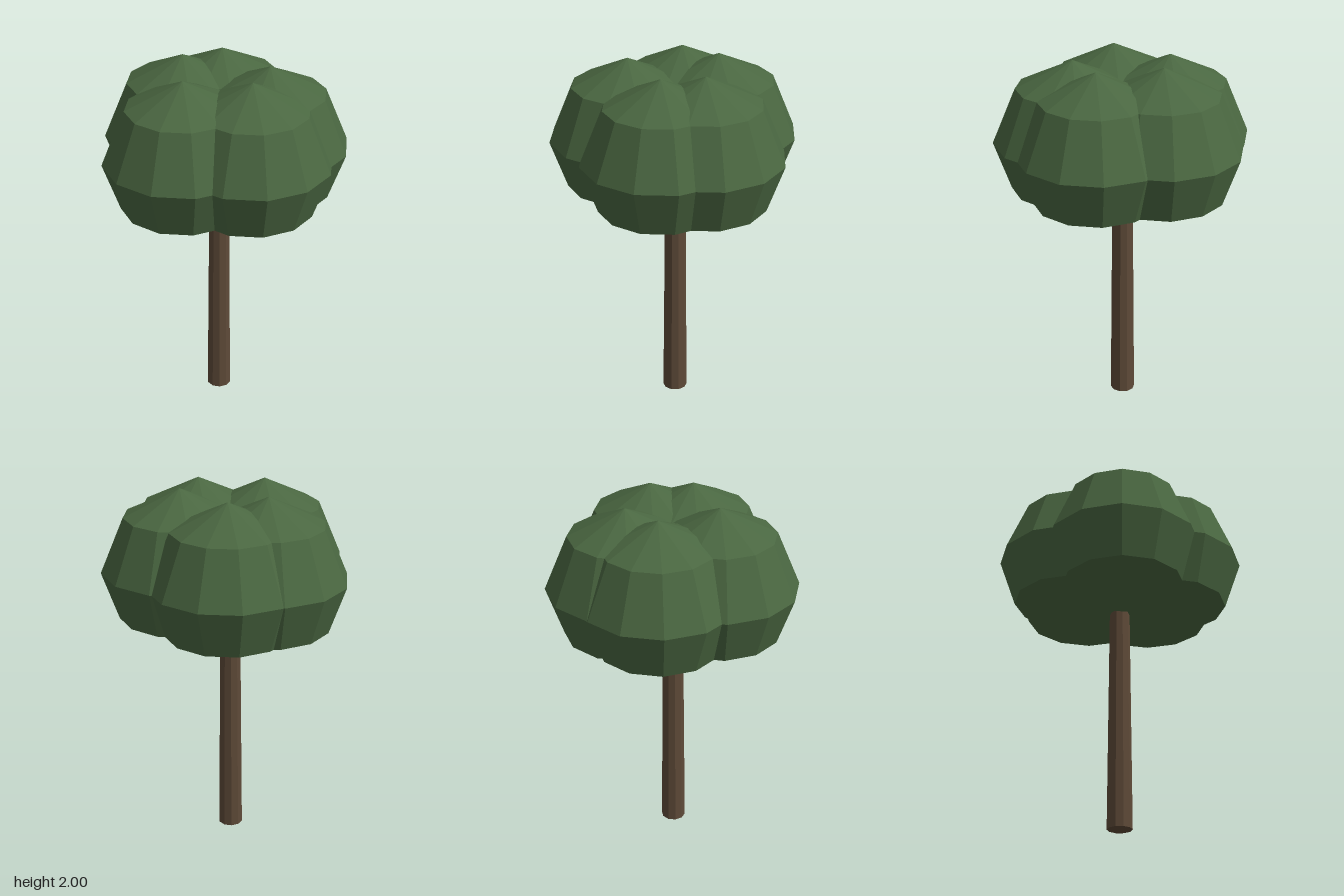
import * as THREE from 'three';

export function createModel() {
  const tree = new THREE.Group();
  tree.name = 'tree';
  const bark = new THREE.MeshStandardMaterial({ color: 0x5e4a38, flatShading: true });
  const leaves = new THREE.MeshStandardMaterial({ color: 0x4a6741, flatShading: true });

  // Tapered ten-sided trunk, running up into the crown
  const trunkHeight = 1.5;
  const trunk = new THREE.Mesh(new THREE.CylinderGeometry(0.053, 0.068, trunkHeight, 10), bark);
  trunk.name = 'trunk';
  trunk.rotation.y = Math.PI / 2;
  trunk.position.set(-0.003, trunkHeight / 2, -0.026);
  tree.add(trunk);

  // One foliage lobe: twelve-sided, with pointed top and bottom
  const profile = [[0, 1.155], [0.335, 1.3], [0.425, 1.56], [0.3, 1.855], [0, 2]]
    .map(([r, y]) => new THREE.Vector2(r, y));
  const lobeGeometry = new THREE.LatheGeometry(profile, 12);

  // Five overlapping lobes in a ring around the trunk
  const crown = new THREE.Group();
  crown.name = 'crown';
  const centres = [[0.018, 0.23], [0.257, -0.03], [0.155, -0.235], [-0.195, -0.203], [-0.257, 0.016]];
  centres.forEach(([x, z], i) => {
    const lobe = new THREE.Mesh(lobeGeometry, leaves);
    lobe.name = `foliageLobe${i + 1}`;
    lobe.position.set(x, 0, z);
    crown.add(lobe);
  });
  tree.add(crown);
  return tree;
}
